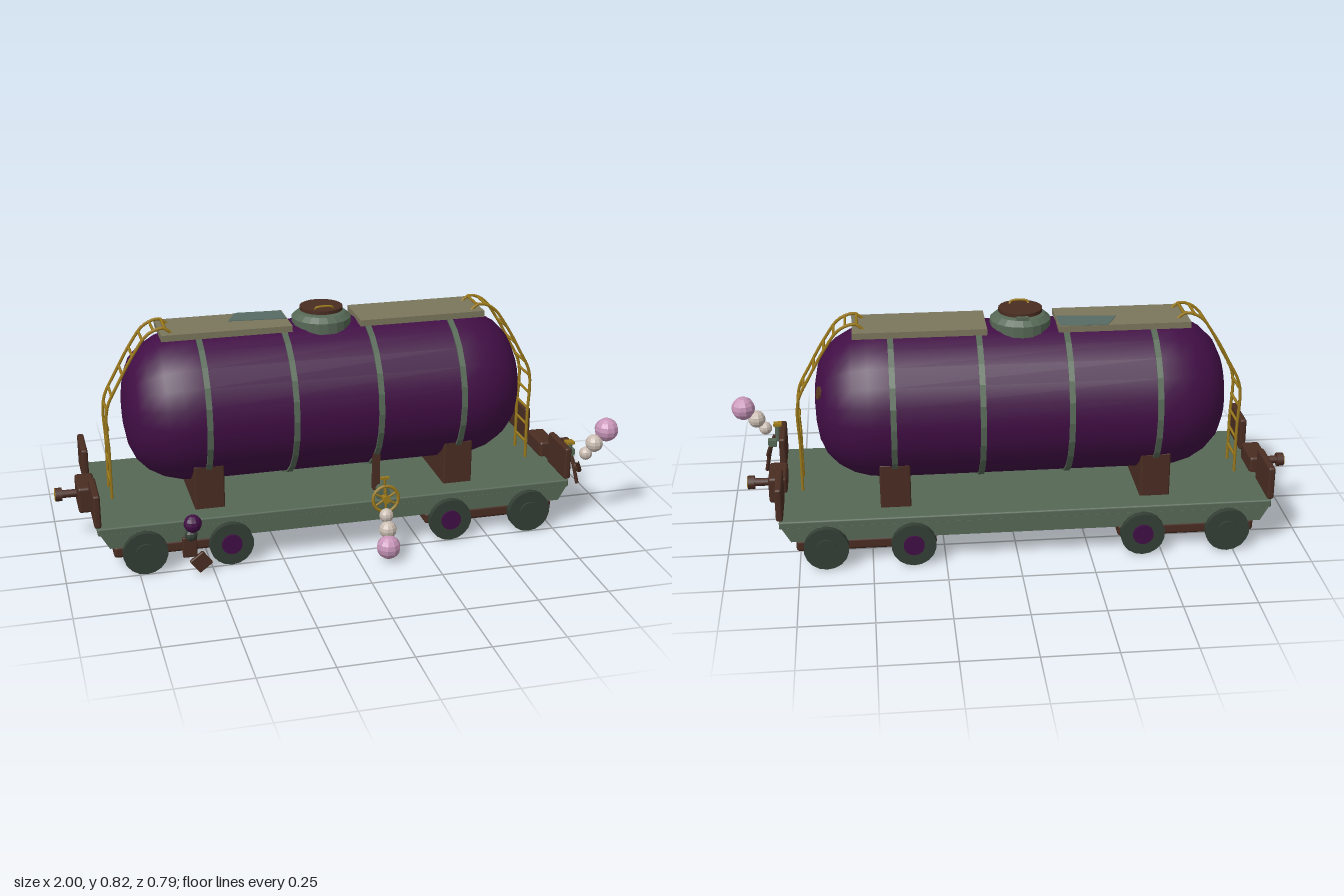
import * as THREE from 'three';
import { RoundedBoxGeometry } from 'three/addons/geometries/RoundedBoxGeometry.js';

const paint = (name, color) => Object.assign(new THREE.MeshStandardMaterial({ color }), { name });
const purple = paint('tank purple', 0x410e45);
const green = paint('grey green', 0x566856);
const darkGreen = paint('wheel green', 0x343f35);
const beige = paint('walkway beige', 0x7b765c);
const brown = paint('rust brown', 0x4a2d22);
const yellow = paint('brass yellow', 0x9c7a1c);
const pink = paint('bauble pink', 0xc896b9);
const white = paint('bauble white', 0xcabdb2);
const teal = paint('worn teal', 0x586b65);
const olive = paint('rust patch', 0x57391f);

const V = (x, y, z) => new THREE.Vector3(x, y, z);

function add(parent, name, geo, mat, x = 0, y = 0, z = 0, rx = 0, ry = 0, rz = 0) {
  const m = new THREE.Mesh(geo, mat);
  m.name = name;
  m.position.set(x, y, z);
  m.rotation.set(rx, ry, rz);
  parent.add(m);
  return m;
}
const box = (w, h, d) => new THREE.BoxGeometry(w, h, d);
const soft = (w, h, d, r = 0.01) => new RoundedBoxGeometry(w, h, d, 2, r);
const cyl = (r1, r2, h, n = 16) => new THREE.CylinderGeometry(r1, r2, h, n);
const tube = (pts, r, n = 24, sides = 6) =>
  new THREE.TubeGeometry(new THREE.CatmullRomCurve3(pts, false, 'centripetal'), n, r, sides);
function faceted(geo) {
  const g = geo.toNonIndexed();
  g.computeVertexNormals();
  return g;
}
const ball = (r) => faceted(new THREE.SphereGeometry(r, 10, 8));

function buildTank(w) {
  // Half profile of the rounded end, mirrored to close the tank
  const half = [[0, 0.715], [0.07, 0.711], [0.13, 0.7], [0.18, 0.677], [0.22, 0.638], [0.25, 0.585], [0.265, 0.53], [0.27, 0.46]];
  const profile = [
    ...half.map(([r, x]) => new THREE.Vector2(r, -x)),
    ...half.slice().reverse().map(([r, x]) => new THREE.Vector2(r, x)),
  ];
  add(w, 'tank', new THREE.LatheGeometry(profile, 24), purple, 0, 0.487, 0, 0, 0, -Math.PI / 2);
  for (const x of [-0.45, -0.15, 0.15, 0.45]) {
    const ring = [[0.262, -0.01], [0.277, -0.01], [0.277, 0.01], [0.262, 0.01]].map((p) => new THREE.Vector2(...p));
    add(w, 'tankBand', faceted(new THREE.LatheGeometry(ring, 24)), green, x, 0.487, 0, 0, 0, -Math.PI / 2);
  }
  add(w, 'rustPatch', cyl(0.024, 0.024, 0.008, 8), olive, 0.697, 0.565, -0.11, 0, 0.25, -Math.PI / 2 + 0.2);

  // Walkways, hatch dome and lid
  for (const s of [-1, 1]) add(w, 'walkway', box(0.456, 0.022, 0.187), beige, s * 0.35, 0.76, -0.007);
  const patch = new THREE.Shape([[-0.29, 0.095], [-0.125, 0.085], [-0.125, -0.01], [-0.33, 0.01]].map((p) => new THREE.Vector2(...p)).reverse());
  add(w, 'walkwayPatch', new THREE.ExtrudeGeometry(patch, { depth: 0.002, bevelEnabled: false }), teal, 0, 0.771, -0.007, -Math.PI / 2);
  const dome = [[0.105, 0.735], [0.105, 0.773], [0.085, 0.79], [0.07, 0.793], [0, 0.793]].map((p) => new THREE.Vector2(...p));
  add(w, 'hatchDome', faceted(new THREE.LatheGeometry(dome, 20)), green);
  add(w, 'lidNeck', cyl(0.06, 0.06, 0.01), green, 0, 0.796, 0);
  add(w, 'hatchLid', cyl(0.076, 0.076, 0.012, 20), brown, 0, 0.804, 0);
  add(w, 'lidHinge', box(0.04, 0.012, 0.02), green, 0, 0.797, -0.078);
  add(w, 'lidHandle', tube([V(-0.033, 0.808, 0.04), V(-0.028, 0.817, 0.045), V(0.028, 0.817, 0.045), V(0.033, 0.808, 0.04)], 0.004), yellow);
}

function buildLadder(w) {
  const ladder = new THREE.Group();
  ladder.name = 'ladder';
  const path = [[0.772, 0.17], [0.772, 0.34], [0.772, 0.51], [0.727, 0.605], [0.67, 0.705], [0.62, 0.77], [0.565, 0.788], [0.537, 0.765]];
  for (const s of [-1, 1]) add(ladder, 'ladderRail', tube(path.map(([x, y]) => V(x, y, s * 0.054)), 0.0055, 40), yellow);
  const rungs = [[0.772, 0.235], [0.772, 0.305], [0.772, 0.37], [0.772, 0.435], [0.772, 0.5], [0.753, 0.555],
    [0.713, 0.63], [0.676, 0.695], [0.64, 0.75], [0.6, 0.78], [0.56, 0.787]];
  for (const [x, y] of rungs) add(ladder, 'ladderRung', cyl(0.005, 0.005, 0.108, 6), yellow, x, y, 0, Math.PI / 2);
  w.add(ladder);
  return ladder;
}

function buildChassis(w) {
  add(w, 'deck', soft(1.696, 0.028, 0.592, 0.006), green, 0, 0.161, 0);
  add(w, 'underbody', box(1.6, 0.06, 0.54), purple, 0, 0.12, 0);
  for (const s of [-1, 1]) {
    // Side sills with sloped ends
    const sill = new THREE.Shape([[-0.81, 0.1], [0.81, 0.1], [0.84, 0.152], [-0.84, 0.152]].map((p) => new THREE.Vector2(...p)));
    add(w, 'sideSill', new THREE.ExtrudeGeometry(sill, { depth: 0.035, bevelEnabled: false }), green, 0, 0, s > 0 ? 0.262 : -0.297);
    add(w, 'bogieSlab', soft(0.48, 0.045, 0.54, 0.012), brown, s * 0.555, 0.068, 0);
    add(w, 'saddle', soft(0.105, 0.165, 0.435, 0.006), brown, s * 0.45, 0.252, 0);

    // Curved headstock below each deck end
    const belly = new THREE.Shape([[-0.18, 0.15], [-0.12, 0.13], [-0.06, 0.106], [0.06, 0.106], [0.12, 0.13], [0.18, 0.15]].map((p) => new THREE.Vector2(...p)));
    add(w, 'headstock', new THREE.ExtrudeGeometry(belly, { depth: 0.03, bevelEnabled: false }), green, s > 0 ? 0.8 : -0.83, 0, 0, 0, Math.PI / 2);

    // End plates, coupling block and buffer
    for (const t of [-1, 1]) add(w, 'endPlate', soft(0.024, 0.12, 0.17, 0.008), brown, s * 0.845, 0.234, t * 0.205);
    add(w, 'couplingBlock', soft(0.065, 0.095, 0.14), brown, s * 0.858, 0.183, 0);
    add(w, 'bufferShaft', cyl(0.014, 0.014, 0.06, 12), brown, s * 0.915, 0.187, 0, 0, 0, Math.PI / 2);
    add(w, 'bufferHead', cyl(0.024, 0.024, 0.024, 12), brown, s * 0.953, 0.187, 0, 0, 0, Math.PI / 2);
    add(w, 'bufferRing', new THREE.TorusGeometry(0.02, 0.003, 6, 16), yellow, s * 0.965, 0.187, 0, 0, Math.PI / 2);

    for (const x of [-0.692, -0.395, 0.395, 0.692]) {
      add(w, 'wheel', cyl(0.077, 0.077, 0.028, 18), darkGreen, x, 0.077, s * 0.305, Math.PI / 2);
      add(w, 'wheelHub', cyl(0.036, 0.036, 0.04, 14), Math.abs(x) < 0.5 ? purple : darkGreen, x, 0.079, s * 0.307, Math.PI / 2);
    }
  }
}

// Chain of three baubles growing outward
function buildBaubles(g, name, list) {
  const chain = new THREE.Group();
  chain.name = name;
  list.forEach(([x, y, z, r], i) => add(chain, 'bauble', ball(r), i === 2 ? pink : white, x, y, z));
  g.add(chain);
}

function buildSideValve(g) {
  add(g, 'valveBody', cyl(0.022, 0.022, 0.045, 10), green, 0.11, 0.212, 0.238, Math.PI / 2);
  add(g, 'valveBracket', box(0.03, 0.05, 0.02), green, 0.11, 0.19, 0.212);
  add(g, 'valvePost', box(0.024, 0.15, 0.024), brown, 0.115, 0.245, 0.13);
  const wheel = new THREE.Group();
  wheel.name = 'handwheel';
  add(wheel, 'handwheelRim', new THREE.TorusGeometry(0.046, 0.006, 6, 18), yellow);
  for (let i = 0; i < 3; i++) add(wheel, 'handwheelSpoke', cyl(0.004, 0.004, 0.09, 6), yellow, 0, 0, 0, 0, 0, (i * Math.PI) / 3);
  add(wheel, 'handwheelHub', cyl(0.014, 0.014, 0.03, 8), yellow, 0, 0, 0, Math.PI / 2);
  wheel.position.set(0.108, 0.203, 0.282);
  wheel.rotation.x = -0.1;
  g.add(wheel);
  add(g, 'valveStem', cyl(0.004, 0.004, 0.06, 6), yellow, 0.105, 0.255, 0.277);
  add(g, 'valveGrip', box(0.03, 0.008, 0.012), yellow, 0.105, 0.28, 0.277);
  buildBaubles(g, 'sideBaubles', [[0.105, 0.15, 0.303, 0.025], [0.105, 0.106, 0.325, 0.031], [0.1, 0.053, 0.353, 0.042]]);
}

function buildEndTap(g) {
  add(g, 'tapStem', cyl(0.011, 0.011, 0.06, 8), green, 0.83, 0.265, 0.175);
  add(g, 'tapHandle', box(0.03, 0.009, 0.03), yellow, 0.83, 0.3, 0.175);
  add(g, 'tapSpout', box(0.03, 0.024, 0.026), green, 0.85, 0.245, 0.135);
  add(g, 'hose', tube([V(0.845, 0.24, 0.215), V(0.865, 0.195, 0.198), V(0.87, 0.19, 0.145), V(0.855, 0.24, 0.128)], 0.007), brown);
  add(g, 'drainHose', tube([V(0.855, 0.235, 0.13), V(0.865, 0.19, 0.143), V(0.877, 0.125, 0.156)], 0.007), brown);
  buildBaubles(g, 'endBaubles', [[0.877, 0.268, 0.215, 0.024], [0.907, 0.305, 0.217, 0.032], [0.953, 0.352, 0.213, 0.043]]);
}

function buildBrakeLever(g) {
  add(g, 'leverKnob', ball(0.031), purple, -0.573, 0.202, 0.312);
  add(g, 'leverJoint', ball(0.022), darkGreen, -0.578, 0.155, 0.3);
  add(g, 'leverArm', soft(0.05, 0.075, 0.015, 0.005), brown, -0.582, 0.105, 0.287);
  add(g, 'leverFoot', soft(0.058, 0.058, 0.015, 0.005), brown, -0.545, 0.045, 0.289, 0, 0, 0.65);
}

export function createModel() {
  const model = new THREE.Group();
  model.name = 'tankWagon';
  const wagon = new THREE.Group();
  wagon.name = 'wagon';
  wagon.position.set(-0.035, 0, -0.07);
  model.add(wagon);
  buildTank(wagon);
  buildChassis(wagon);
  buildLadder(wagon);
  buildLadder(wagon).rotation.y = Math.PI;
  buildSideValve(model);
  buildEndTap(model);
  buildBrakeLever(model);
  return model;
}
